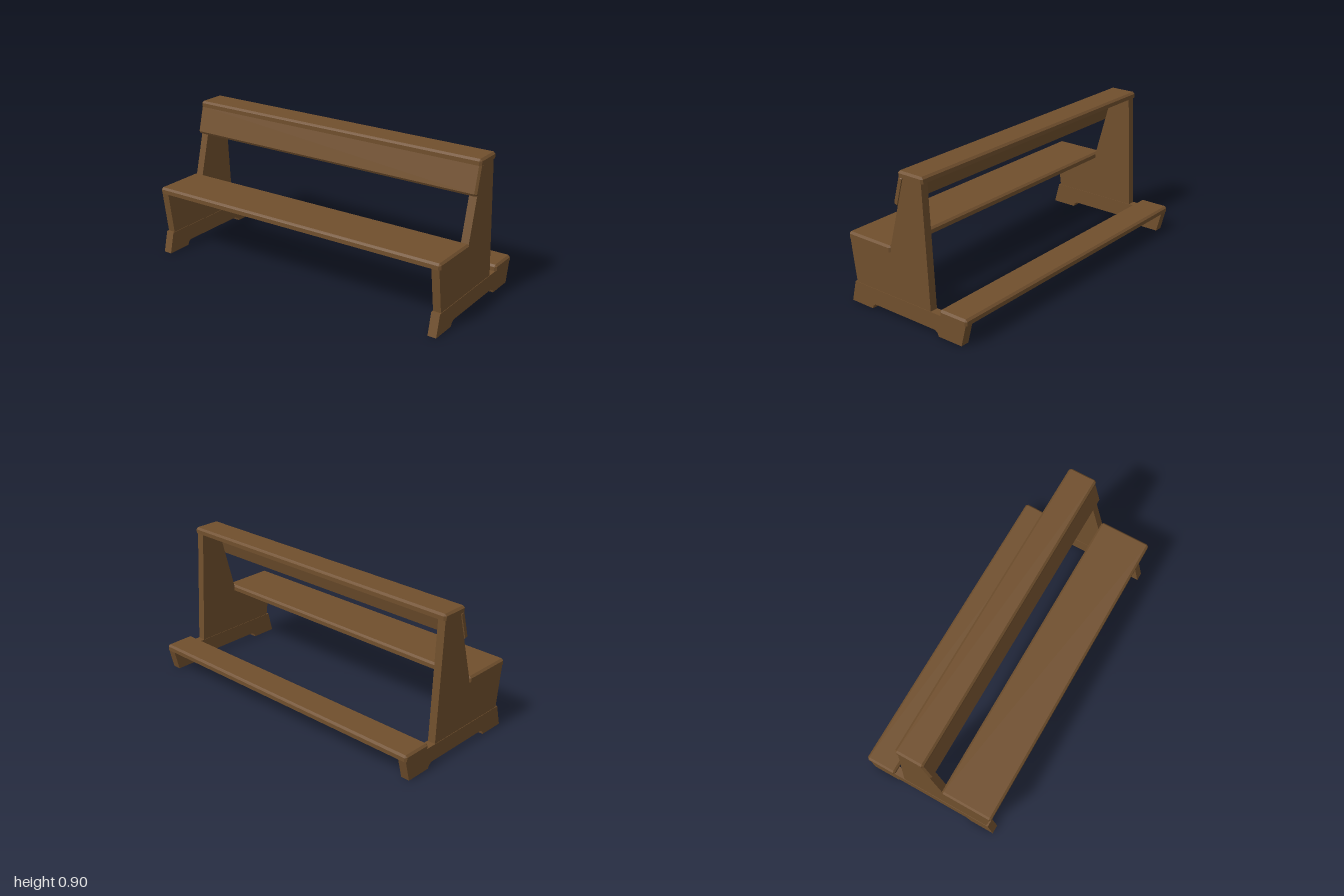
import * as THREE from 'three';
import { ConvexGeometry } from 'three/addons/geometries/ConvexGeometry.js';

export function createModel() {
  const group = new THREE.Group();
  const wood = new THREE.MeshStandardMaterial({ color: 0x704f2d, side: THREE.DoubleSide });
  wood.name = 'brownWood';

  function add(name, geometry) {
    const mesh = new THREE.Mesh(geometry, wood);
    mesh.name = name;
    group.add(mesh);
    return mesh;
  }

  // Remove the faces that point straight down, leaving a hollow underside
  function openBelow(geometry) {
    const p = geometry.attributes.position, n = geometry.attributes.normal;
    const kept = [];
    for (let i = 0; i < p.count; i += 3) {
      if (n.getY(i) < -0.9) continue;
      for (let k = i; k < i + 3; k++) kept.push(new THREE.Vector3().fromBufferAttribute(p, k));
    }
    const open = new THREE.BufferGeometry().setFromPoints(kept);
    open.computeVertexNormals();
    return open;
  }

  // Plank with clipped corners and a bevelled upper edge; underside at y = 0
  function plank(name, depth, height, y, z, hollow = false) {
    const points = [];
    const b = depth / 2, c = 0.012;
    for (const sx of [-1, 1]) for (const sz of [-1, 1]) {
      for (const level of [0, height - c]) {
        points.push(new THREE.Vector3(sx * (1 - c), level, sz * b));
        points.push(new THREE.Vector3(sx, level, sz * (b - c)));
      }
      points.push(new THREE.Vector3(sx * (1 - c), height, sz * (b - c)));
    }
    const solid = new ConvexGeometry(points);
    const mesh = add(name, hollow ? openBelow(solid) : solid);
    mesh.position.set(0, y, z);
    return mesh;
  }

  // Board cut from a (z, y) outline, standing across x
  function board(name, outline, thickness, x) {
    const shape = new THREE.Shape(outline.map(([z, y]) => new THREE.Vector2(z, y)));
    const geometry = new THREE.ExtrudeGeometry(shape, { depth: thickness, bevelEnabled: false });
    geometry.translate(0, 0, -thickness / 2);
    geometry.rotateY(-Math.PI / 2);
    add(name, geometry).position.x = x;
  }

  const panel = [
    [0.394, 0.132], [0.431, 0.401], [0.107, 0.401], [0.107, 0.43],
    [-0.01, 0.864], [-0.141, 0.864], [-0.179, 0.132],
  ];
  const foot = [
    [0.441, 0], [0.408, 0.132], [-0.433, 0.132], [-0.4, 0],
    [-0.235, 0], [-0.228, 0.018], [-0.208, 0.032],
    [0.252, 0.032], [0.271, 0.018], [0.276, 0],
  ];

  // End supports
  for (const [side, s] of [['left', 1], ['right', -1]]) {
    board(side + 'EndPanel', panel, 0.049, s * 0.968);
    board(side + 'Foot', foot, 0.054, s * 0.968);
  }

  // Long planks
  plank('seat', 0.331, 0.037, 0.4, 0.2715);
  plank('kneeler', 0.195, 0.037, 0.132, -0.3425, true);
  plank('topRail', 0.18, 0.037, 0.863, -0.065);

  // Backrest leaning along the front slope of the end panels
  plank('backrest', 0.184, 0.033, 0.779, 0.013).rotation.x = 1.308;

  return group;
}
